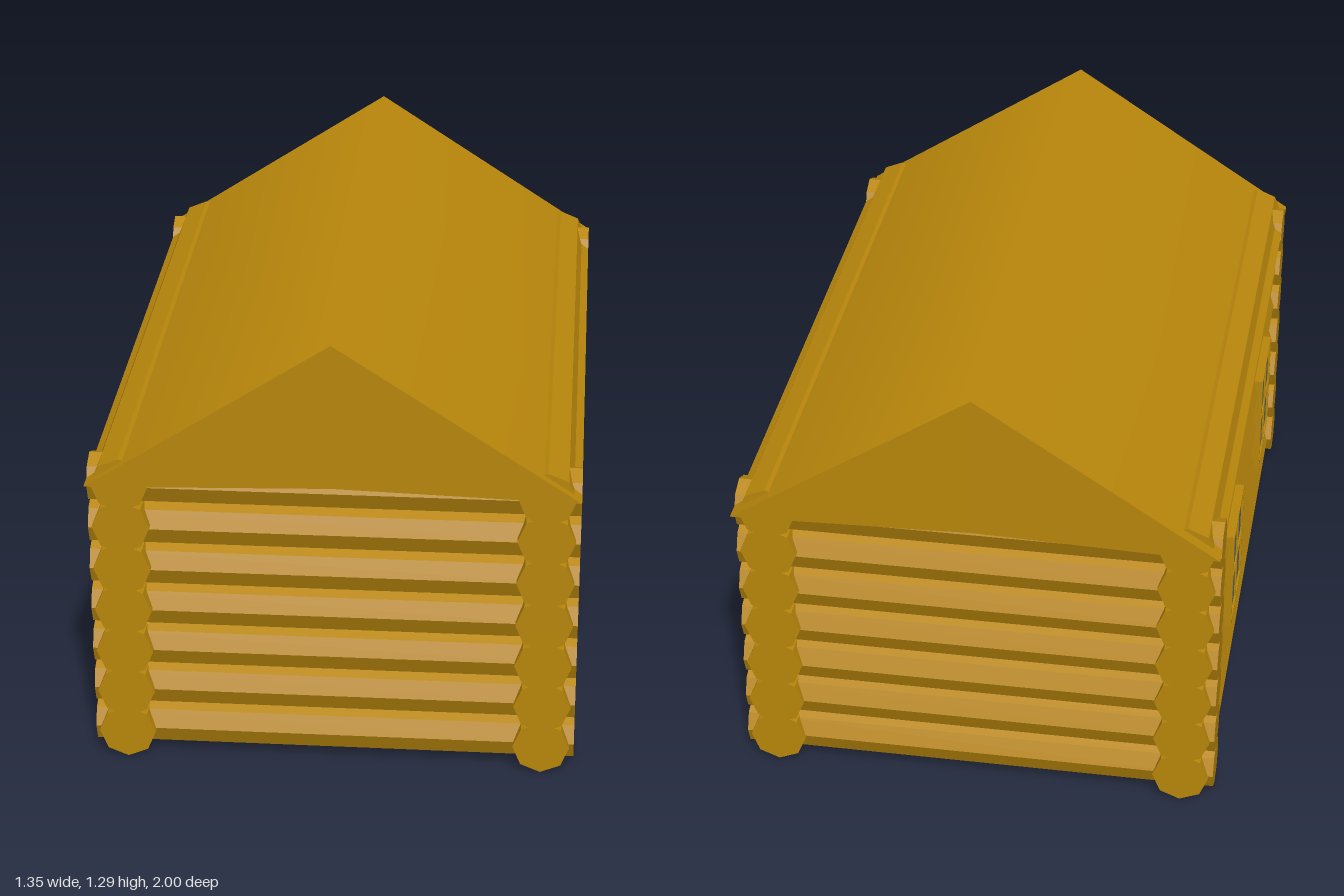
import * as THREE from 'three';

const wood = new THREE.MeshStandardMaterial({ color: 0xb8860b, flatShading: true });
const roofWood = new THREE.MeshStandardMaterial({ color: 0xb8860b });
const doorWood = new THREE.MeshStandardMaterial({ color: 0x785a10 });
const glass = new THREE.MeshStandardMaterial({ color: 0x566a6a });

function add(parent, name, geometry, material, x = 0, y = 0, z = 0) {
  const mesh = new THREE.Mesh(geometry, material);
  mesh.name = name;
  mesh.position.set(x, y, z);
  parent.add(mesh);
  return mesh;
}

// Stacked octagonal logs with interlocking ends
function buildWalls() {
  const walls = new THREE.Group();
  walls.name = 'logWalls';
  const sideLog = new THREE.CylinderGeometry(0.079, 0.079, 1.936, 8).rotateX(Math.PI / 2);
  const endLog = new THREE.CylinderGeometry(0.07, 0.07, 1.344, 8).rotateZ(Math.PI / 2);
  for (const s of [-1, 1]) {
    for (let i = 0; i < 7; i++) {
      add(walls, 'sideLog', sideLog, wood, s * 0.58, 0.08 + i * 0.1285, 0.004);
      add(walls, 'endLog', endLog, wood, 0, 0.083 + i * 0.1257, s * 0.884);
    }
  }
  return walls;
}

// Solid gabled roof with a slightly raised underside; the ridge is softly shaded
function buildRoof() {
  const gable = new THREE.Shape();
  gable.moveTo(-0.672, 0.858);
  gable.lineTo(0, 0.877);
  gable.lineTo(0.672, 0.858);
  gable.lineTo(0, 1.296);
  const g = new THREE.ExtrudeGeometry(gable, { depth: 2, bevelEnabled: false }).translate(0, 0, -1);
  const p = g.attributes.position, n = g.attributes.normal;
  for (let i = 0; i < p.count; i++) {
    if (p.getY(i) > 1.2 && n.getY(i) > 0.5) n.setXYZ(i, 0, 1, 0);
  }
  return g;
}

// Framed window with four panes, facing +x
function buildWindow() {
  const w = new THREE.Group();
  w.name = 'window';
  const width = 0.272, height = 0.308, bar = 0.009;
  add(w, 'glass', new THREE.BoxGeometry(0.06, height - bar, width - bar), glass, -0.036);
  const upright = new THREE.BoxGeometry(0.07, height, bar);
  const rail = new THREE.BoxGeometry(0.07, bar, width);
  for (const s of [-1, 1]) {
    add(w, 'frameUpright', upright, wood, -0.035, 0, s * (width - bar) / 2);
    add(w, 'frameRail', rail, wood, -0.035, s * (height - bar) / 2, 0);
  }
  add(w, 'verticalBar', new THREE.BoxGeometry(0.07, height, 0.006), wood, -0.036);
  add(w, 'crossBar', new THREE.BoxGeometry(0.07, 0.006, width), wood, -0.036);
  return w;
}

export function createModel() {
  const cabin = new THREE.Group();
  cabin.name = 'logCabin';
  cabin.add(buildWalls());
  add(cabin, 'roof', buildRoof(), roofWood);
  add(cabin, 'floor', new THREE.BoxGeometry(1.16, 0.03, 1.77), wood, 0, 0.125, 0);

  // Door on the left side only, windows on both long sides
  add(cabin, 'door', new THREE.BoxGeometry(0.08, 0.575, 0.3), doorWood, 0.628, 0.308, -0.005);
  for (const s of [-1, 1]) {
    for (const z of [-0.422, 0.422]) {
      const w = buildWindow();
      w.position.set(s * 0.674, 0.478, z);
      if (s < 0) w.rotation.y = Math.PI;
      cabin.add(w);
    }
  }
  return cabin;
}
